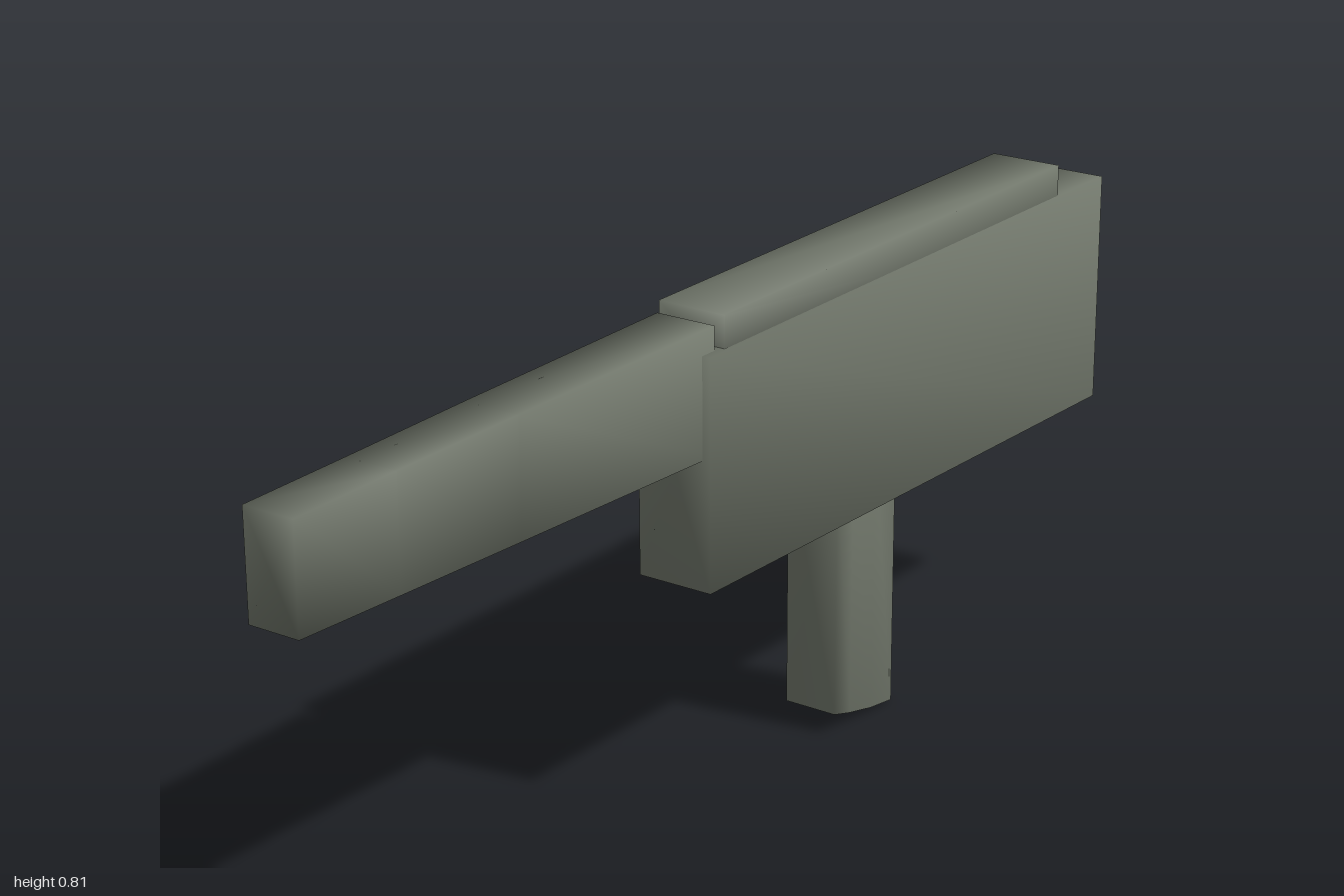
import * as THREE from 'three';

const material = new THREE.MeshStandardMaterial({ color: 0x70766a });

// Lofts rectangular sections [z, halfWidth, bottom, top], ordered from front to back.
// Corners are shared, so the shading is smooth; both ends close with a fan.
function loft(name, sections) {
  const pos = [], idx = [];
  for (const [z, w, b, t] of sections) {
    pos.push(-w, b, z, w, b, z, w, t, z, -w, t, z);
  }
  const n = sections.length;
  for (let s = 0; s < n - 1; s++) {
    for (let i = 0; i < 4; i++) {
      const a = s * 4 + i, b = s * 4 + (i + 1) % 4;
      idx.push(a, a + 4, b, b, a + 4, b + 4);
    }
  }
  const first = sections[0], last = sections[n - 1];
  for (const [z, , b, t] of [first, last]) pos.push(0, (b + t) / 2, z);
  for (let i = 0; i < 4; i++) {
    const j = (i + 1) % 4, k = (n - 1) * 4;
    idx.push(n * 4, i, j);
    idx.push(n * 4 + 1, k + j, k + i);
  }
  const geometry = new THREE.BufferGeometry();
  geometry.setAttribute('position', new THREE.Float32BufferAttribute(pos, 3));
  geometry.setIndex(idx);
  geometry.computeVertexNormals();
  const mesh = new THREE.Mesh(geometry, material);
  mesh.name = name;
  return mesh;
}

export function createModel() {
  const model = new THREE.Group();
  model.name = 'blockySidearm';

  // Tapered barrel, set slightly into the body
  model.add(loft('barrel', [
    [1.0, 0.044, 0.602, 0.770],
    [0.8, 0.045, 0.597, 0.774],
    [0.55, 0.048, 0.592, 0.779],
    [0.10, 0.052, 0.583, 0.786],
  ]));

  // Deep main body
  model.add(loft('body', [
    [0.13, 0.066, 0.374, 0.747],
    [-1.0, 0.067, 0.363, 0.757],
  ]));

  // Raised rail along the top
  model.add(loft('topRail', [
    [0.085, 0.060, 0.70, 0.800],
    [-0.86, 0.063, 0.70, 0.808],
  ]));

  // Grip with a curved foot, its top hidden in the body
  model.add(loft('grip', [
    [-0.235, 0.047, 0.034, 0.46],
    [-0.28, 0.047, 0.021, 0.46],
    [-0.34, 0.048, 0.008, 0.46],
    [-0.40, 0.048, 0.0, 0.46],
  ]));

  return model;
}
